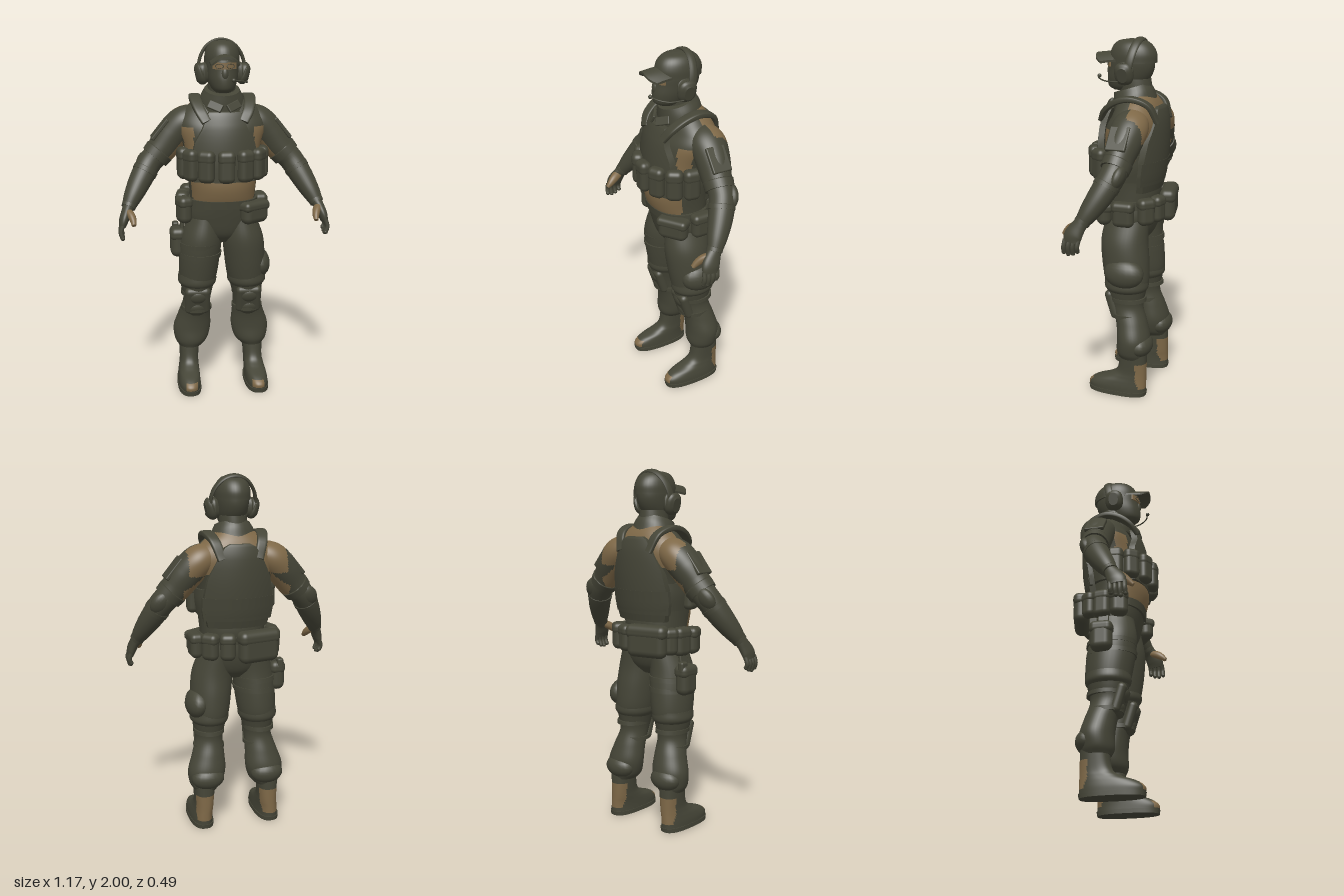
import * as THREE from 'three';
import { RoundedBoxGeometry } from 'three/addons/geometries/RoundedBoxGeometry.js';

const olive = new THREE.MeshStandardMaterial({ color: 0x454537 });
olive.name = 'dark olive cloth';
const tan = new THREE.MeshStandardMaterial({ color: 0x7e6847 });
tan.name = 'tan cloth';
const V = (x, y, z) => new THREE.Vector3(x, y, z);

// Smooth closed skin through sections [x, y, z, radiusA, radiusB].
// level: rings stay horizontal; isTan(centroid) picks the second colour.
function loft(sections, { level = false, ref = V(1, 0, 0), power = 2, steps = 6, sides = 36, isTan = () => false } = {}) {
  const path = new THREE.CatmullRomCurve3(sections.map(s => V(s[0], s[1], s[2])), false, 'catmullrom', 0.5);
  const size = new THREE.CatmullRomCurve3(sections.map(s => V(s[3], s[4], 0)), false, 'catmullrom', 0.5);
  const n = (sections.length - 1) * steps, rings = [];
  const up = V(0, Math.sign(sections.at(-1)[1] - sections[0][1]), 0);
  const bend = c => Math.sign(c) * Math.abs(c) ** (2 / power);
  for (let i = 0; i <= n; i++) {
    const c = path.getPoint(i / n), r = size.getPoint(i / n);
    const t = level ? up : path.getTangent(i / n);
    const a = ref.clone().addScaledVector(t, -t.dot(ref)).normalize();
    const b = t.clone().cross(a);
    const ring = [];
    for (let j = 0; j < sides; j++) {
      const q = j / sides * Math.PI * 2;
      ring.push(c.clone().addScaledVector(a, r.x * bend(Math.cos(q))).addScaledVector(b, r.y * bend(Math.sin(q))));
    }
    if (i === 0) rings.push(ring.map(() => c), ring);
    rings.push(ring);
    if (i === n) rings.push(ring, ring.map(() => c));
  }
  const pts = rings.flat(), lists = [[], []];
  for (let i = 0; i < rings.length - 1; i++) for (let j = 0; j < sides; j++) {
    const k = (j + 1) % sides;
    const p = i * sides + j, q = i * sides + k, r = p + sides, s = q + sides;
    const mid = pts[p].clone().add(pts[q]).add(pts[r]).add(pts[s]).multiplyScalar(0.25);
    lists[isTan(mid) ? 1 : 0].push(p, q, r, q, s, r);
  }
  const g = new THREE.BufferGeometry().setFromPoints(pts);
  g.setIndex([...lists[0], ...lists[1]]);
  g.addGroup(0, lists[0].length, 0);
  g.addGroup(lists[0].length, lists[1].length, 1);
  g.computeVertexNormals();
  return g;
}

// Curved plate through rows [y, halfWidth, z], top to bottom; bulges along dir * z.
function panel(rows, thick, curve, dir = 1) {
  const g = new THREE.BoxGeometry(2, 1, thick, 16, 12, 1), p = g.attributes.position;
  for (let i = 0; i < p.count; i++) {
    const f = (0.5 - p.getY(i)) * (rows.length - 1), k = Math.min(Math.floor(f), rows.length - 2);
    const [y, w, z] = rows[k].map((v, m) => v + (rows[k + 1][m] - v) * (f - k));
    const x = p.getX(i) * w;
    p.setXYZ(i, x, y, dir * (z - curve * x * x) + p.getZ(i));
  }
  g.computeVertexNormals();
  return g;
}

export function createModel() {
  const model = new THREE.Group();
  const add = (name, geo, mat = [olive, tan]) => {
    const m = new THREE.Mesh(geo, mat);
    m.name = name;
    model.add(m);
    return m;
  };
  const box = (name, x, y, z, w, h, d, ry = 0, rz = 0, round = 0.3) => {
    const m = add(name, new RoundedBoxGeometry(w, h, d, 4, Math.min(w, h, d) * round), olive);
    m.position.set(x, y, z);
    m.rotation.set(0, ry, rz);
    return m;
  };
  const pouch = (name, x, y, z, w, h, d, ry = 0) => {
    box(name, x, y, z, w, h, d, ry, 0, 0.46);
    box(name + 'Flap', x, y + h * 0.28, z, w * 1.05, h * 0.44, d * 1.08, ry, 0, 0.42);
  };
  const ball = (name, x, y, z, rx, ry, rz) => {
    const m = add(name, new THREE.SphereGeometry(1, 20, 14), olive);
    m.position.set(x, y, z);
    m.scale.set(rx, ry, rz);
    return m;
  };

  // Shirt: tan belly, side panels and upper back
  add('shirt', loft([[0, 1.05, -0.01, 0.18, 0.13], [0, 1.15, 0.005, 0.182, 0.162], [0, 1.25, 0.012, 0.192, 0.166],
    [0, 1.4, -0.01, 0.21, 0.155], [0, 1.52, -0.03, 0.245, 0.15], [0, 1.59, -0.045, 0.23, 0.13],
    [0, 1.65, -0.045, 0.17, 0.108], [0, 1.7, -0.04, 0.1, 0.08]], {
    level: true, sides: 80, steps: 10, power: 2.2,
    isTan: c => (c.y < 1.28 && c.z > 0.065) || (c.y > 1.48 && c.z < -0.045) ||
      (c.y > 1.38 && c.y < 1.53 && c.z > 0.03 && Math.abs(c.x) > 0.165) }));
  add('hips', loft([[0, 0.875, -0.01, 0.05, 0.07], [0, 0.93, -0.01, 0.15, 0.115], [0, 1.02, -0.01, 0.195, 0.14],
    [0, 1.12, 0, 0.187, 0.15]], { level: true, power: 2.3 }));
  add('belt', loft([[0, 1.085, 0, 0.198, 0.157], [0, 1.13, 0, 0.196, 0.163]], { level: true, power: 2.3 }));

  // Vest
  add('vestBand', loft([[0, 1.24, 0.005, 0.205, 0.175], [0, 1.32, 0, 0.218, 0.178], [0, 1.39, -0.005, 0.22, 0.172]],
    { level: true, power: 2.3, sides: 48 }));
  add('frontPlate', panel([[1.615, 0.085, 0.118], [1.59, 0.1, 0.13], [1.53, 0.12, 0.15], [1.45, 0.165, 0.162],
    [1.35, 0.18, 0.168], [1.24, 0.17, 0.165]], 0.035, 1.6), olive);
  add('backPlate', panel([[1.64, 0.055, 0.16], [1.625, 0.085, 0.172], [1.56, 0.125, 0.186], [1.46, 0.172, 0.188],
    [1.36, 0.19, 0.182], [1.26, 0.185, 0.17], [1.18, 0.165, 0.148]], 0.035, 1.7, -1), olive);
  add('backLowerBand', panel([[1.35, 0.2, 0.19], [1.28, 0.2, 0.18], [1.22, 0.19, 0.168]], 0.02, 1.7, -1), olive);
  for (const a of [-1.45, -0.98, -0.5, 0, 0.5, 0.98, 1.45])
    pouch('magazinePouch', 0.222 * Math.sin(a), 1.33, 0.01 + 0.195 * Math.cos(a), 0.09, 0.175, 0.064, a);

  // Belt pouches
  pouch('leftFrontPouch', 0.165, 1.06, 0.115, 0.17, 0.125, 0.08, 0.6);
  pouch('rightFrontPouch', -0.22, 1.07, 0.055, 0.1, 0.15, 0.075, -1.2);
  pouch('rightSidePouch', -0.222, 1.075, -0.04, 0.1, 0.16, 0.07, -1.7);
  pouch('rightRearPouch', -0.205, 1.08, -0.115, 0.08, 0.15, 0.07, -2.1);
  pouch('lumbarPouch', -0.1, 1.08, -0.185, 0.235, 0.18, 0.085, 0.22);
  pouch('leftBackPouch', 0.07, 1.08, -0.175, 0.085, 0.15, 0.07, -0.25);
  pouch('leftRearPouch', 0.16, 1.08, -0.14, 0.095, 0.15, 0.07, -0.75);
  pouch('leftSidePouch', 0.22, 1.07, -0.03, 0.12, 0.14, 0.07, 1.6);

  // Neck, collar, head
  add('neck', loft([[0, 1.62, -0.035, 0.1, 0.1], [0, 1.7, -0.025, 0.08, 0.09], [0, 1.78, -0.015, 0.074, 0.09]], { level: true }));
  const collar = add('collar', loft([[0, -0.05, 0.005, 0.132, 0.122], [0, 0, 0, 0.116, 0.115], [0, 0.04, 0, 0.096, 0.104]], { level: true }));
  collar.position.set(0, 1.69, -0.01);
  collar.rotation.x = 0.3;
  for (const s of [-1, 1])
    box('collarLapel', s * 0.05, 1.645, 0.112, 0.085, 0.045, 0.016, s * 0.4, s * 0.55).rotation.x = -0.5;
  add('head', loft([[0, 1.715, 0.045, 0.04, 0.06], [0, 1.735, 0.038, 0.062, 0.096], [0, 1.78, 0.02, 0.08, 0.12],
    [0, 1.83, 0.005, 0.088, 0.128], [0, 1.88, 0, 0.091, 0.126], [0, 1.93, -0.005, 0.083, 0.112]], { level: true }));
  ball('maskNose', 0, 1.815, 0.124, 0.02, 0.036, 0.02);
  add('cap', loft([[0, 1.865, -0.008, 0.095, 0.131], [0, 1.91, -0.008, 0.094, 0.13], [0, 1.95, -0.006, 0.082, 0.112],
    [0, 1.977, -0.004, 0.057, 0.078], [0, 1.988, 0, 0.015, 0.02]], { level: true }));
  const brim = new THREE.BoxGeometry(2, 0.012, 1, 20, 1, 8), bp = brim.attributes.position;
  for (let i = 0; i < bp.count; i++) {
    const u = bp.getX(i), v = bp.getZ(i) + 0.5;
    bp.setXYZ(i, 0.077 * u, 1.917 - 0.042 * u * u - 0.012 * v * v + bp.getY(i), 0.05 + v * 0.15 * (1 - 0.3 * u ** 4));
  }
  brim.computeVertexNormals();
  add('capBrim', brim, olive);

  // Eye opening with spectacles
  add('eyeOpening', panel([[1.876, 0.064, 0.133], [1.842, 0.064, 0.133]], 0.008, 7.5), tan);
  for (const s of [-1, 1]) {
    const frame = add('spectacleFrame', new THREE.TorusGeometry(0.019, 0.0024, 8, 28), olive);
    frame.scale.set(1.15, 0.62, 1);
    frame.position.set(s * 0.03, 1.858, 0.131);
    frame.rotation.y = s * 0.4;
  }

  // Headset
  const band = add('headsetBand', new THREE.TorusGeometry(0.126, 0.009, 10, 40, Math.PI), olive);
  band.scale.set(1, 1.2, 2.6);
  band.position.set(0, 1.84, -0.02);
  band.rotation.x = -0.2;
  for (const s of [-1, 1])
    add('earCup', loft([[s * 0.08, 1.815, 0.005, 0.04, 0.05], [s * 0.1, 1.815, 0.005, 0.048, 0.058], [s * 0.108, 1.815, 0.005, 0.044, 0.053],
      [s * 0.116, 1.812, 0.005, 0.053, 0.061], [s * 0.132, 1.808, 0.005, 0.046, 0.055], [s * 0.145, 1.805, 0.005, 0.028, 0.038]],
      { ref: V(0, 0, 1), power: 2.5 }));
  const boom = new THREE.CatmullRomCurve3([V(0.13, 1.77, 0.03), V(0.12, 1.772, 0.11), V(0.085, 1.782, 0.16), V(0.045, 1.788, 0.175)]);
  add('microphoneBoom', new THREE.TubeGeometry(boom, 16, 0.004, 8), olive);
  ball('microphone', 0.04, 1.788, 0.177, 0.011, 0.011, 0.011);

  for (const s of [-1, 1]) {
    // Shoulder strap
    add('shoulderStrap', loft([[s * 0.1, 1.565, 0.14, 0.026, 0.012], [s * 0.13, 1.62, 0.105, 0.03, 0.014],
      [s * 0.148, 1.668, 0.035, 0.032, 0.016], [s * 0.148, 1.685, -0.05, 0.032, 0.016],
      [s * 0.13, 1.65, -0.14, 0.028, 0.014], [s * 0.1, 1.56, -0.18, 0.026, 0.012]], { power: 4, sides: 24 }));

    // Sleeve, elbow and forearm
    const along = { ref: V(0, 0, 1) };
    add('upperSleeve', loft([[s * 0.14, 1.57, -0.06, 0.085, 0.075], [s * 0.21, 1.54, -0.065, 0.1, 0.088], [s * 0.272, 1.475, -0.06, 0.092, 0.09],
      [s * 0.325, 1.405, -0.05, 0.08, 0.084], [s * 0.365, 1.36, -0.045, 0.074, 0.076]], { ...along, sides: 64, steps: 12,
      isTan: c => (c.z < -0.065 && c.y > 1.47 && Math.abs(c.x) < 0.275) ||
        (c.y < 1.47 && Math.abs(c.x) < 0.3 && c.z < 0.01 && c.z > -0.13) }));
    add('sleeveCuff', loft([[s * 0.343, 1.385, -0.05, 0.081, 0.084], [s * 0.373, 1.35, -0.044, 0.077, 0.08]], along));
    add('forearm', loft([[s * 0.345, 1.38, -0.05, 0.07, 0.07], [s * 0.402, 1.32, -0.04, 0.07, 0.068], [s * 0.453, 1.235, 0, 0.066, 0.064],
      [s * 0.497, 1.155, 0.045, 0.054, 0.052], [s * 0.528, 1.095, 0.08, 0.038, 0.036]], along));
    ball('elbowPad', s * 0.418, 1.325, -0.08, 0.052, 0.068, 0.035).rotation.set(-0.3, 0, s * 0.6);
    add('elbowStrap', loft([[s * 0.422, 1.288, -0.025, 0.073, 0.07], [s * 0.434, 1.268, -0.016, 0.072, 0.069]], along));
    box('shoulderPatch', s * 0.342, 1.508, -0.05, 0.022, 0.14, 0.11, 0, s * 0.68);

    // Gloved hand with bare thumb
    add('palm', loft([[s * 0.522, 1.105, 0.075, 0.036, 0.034], [s * 0.538, 1.075, 0.095, 0.043, 0.028],
      [s * 0.553, 1.035, 0.115, 0.05, 0.026], [s * 0.562, 1.0, 0.12, 0.046, 0.019]], along));
    add('gloveCuff', loft([[s * 0.519, 1.113, 0.07, 0.043, 0.041], [s * 0.527, 1.096, 0.08, 0.042, 0.039]], along));
    for (let i = 0; i < 4; i++) {
      const z = 0.083 + i * 0.025, end = [0.955, 0.942, 0.937, 0.945][i];
      const curl = new THREE.CatmullRomCurve3([V(s * 0.56, 1.015, z), V(s * 0.571, 0.975, z + 0.004), V(s * 0.562, end, z + 0.006)]);
      add('finger', new THREE.TubeGeometry(curl, 8, 0.0125, 8), olive);
      ball('fingertip', s * 0.562, end, z + 0.006, 0.0125, 0.0125, 0.0125);
    }
    add('thumb', loft([[s * 0.528, 1.082, 0.105, 0.026, 0.02], [s * 0.512, 1.064, 0.14, 0.025, 0.021],
      [s * 0.503, 1.043, 0.168, 0.02, 0.018], [s * 0.5, 1.022, 0.192, 0.011, 0.012]], { ...along, isTan: () => true }));

    // Trouser leg
    add('trouserLeg', loft([[s * 0.1, 1.02, -0.01, 0.09, 0.125], [s * 0.118, 0.9, 0, 0.115, 0.133], [s * 0.13, 0.78, -0.01, 0.116, 0.134],
      [s * 0.138, 0.67, -0.02, 0.108, 0.126], [s * 0.143, 0.6, -0.02, 0.092, 0.11], [s * 0.145, 0.52, -0.025, 0.078, 0.092],
      [s * 0.157, 0.43, -0.055, 0.092, 0.088], [s * 0.17, 0.34, -0.072, 0.108, 0.093], [s * 0.176, 0.265, -0.068, 0.095, 0.09],
      [s * 0.182, 0.225, -0.07, 0.068, 0.078]], { level: true }));
    add('trouserFold', loft([[s * 0.14, 0.605, -0.02, 0.09, 0.106], [s * 0.143, 0.635, -0.02, 0.11, 0.125], [s * 0.141, 0.68, -0.02, 0.108, 0.124]], { level: true }));
    ball('calfFold', s * 0.175, 0.3, -0.12, 0.095, 0.065, 0.064);

    // Knee pad
    box('kneePad', s * 0.147, 0.53, 0.046, 0.145, 0.17, 0.055, 0, 0, 0.48).rotation.x = 0.3;
    ball('kneeCup', s * 0.147, 0.555, 0.068, 0.052, 0.042, 0.024).rotation.x = 0.3;
    ball('kneeLowerCup', s * 0.15, 0.475, 0.035, 0.058, 0.05, 0.03).rotation.x = 0.45;
    for (const [y, rx, rz] of [[0.565, 0.088, 0.106], [0.47, 0.088, 0.096]])
      add('kneeStrap', loft([[s * 0.148, y - 0.011, -0.03, rx, rz], [s * 0.148, y + 0.011, -0.028, rx, rz]], { level: true }));

    // Boot with tan heel and toe patch
    add('boot', loft([[s * 0.197, 0.018, 0.015, 0.064, 0.17], [s * 0.197, 0.05, 0.015, 0.063, 0.17], [s * 0.195, 0.08, -0.005, 0.06, 0.15],
      [s * 0.192, 0.11, -0.045, 0.056, 0.11], [s * 0.19, 0.15, -0.07, 0.054, 0.085], [s * 0.188, 0.25, -0.078, 0.06, 0.076]], {
      level: true, power: 2.4, sides: 64, steps: 8,
      isTan: c => (c.z < -0.105 - Math.max(0, 0.1 - c.y) * 0.4 && c.y > 0.045 && c.y < 0.2) ||
        (c.z > 0.13 && c.y > 0.03 && c.y < 0.07 && Math.abs(c.x - s * 0.192) < 0.034) }));
    add('sole', loft([[s * 0.197, 0, 0.015, 0.067, 0.17], [s * 0.197, 0.024, 0.015, 0.067, 0.174]], { level: true, power: 2.6 }));
  }

  // Left cargo pocket, right thigh holster and its straps
  ball('cargoPocket', 0.215, 0.73, -0.03, 0.065, 0.085, 0.115).rotation.z = 0.15;
  pouch('holster', -0.25, 0.865, -0.035, 0.085, 0.17, 0.12);
  box('holsterGrip', -0.26, 0.94, -0.075, 0.035, 0.06, 0.05);
  box('holsterHanger', -0.222, 0.98, -0.03, 0.02, 0.12, 0.06, 0, -0.2);
  for (const y of [0.8, 0.86])
    add('holsterStrap', loft([[-0.127, y - 0.013, -0.007, 0.12, 0.139], [-0.124, y + 0.013, -0.004, 0.12, 0.139]], { level: true }));

  return model;
}
